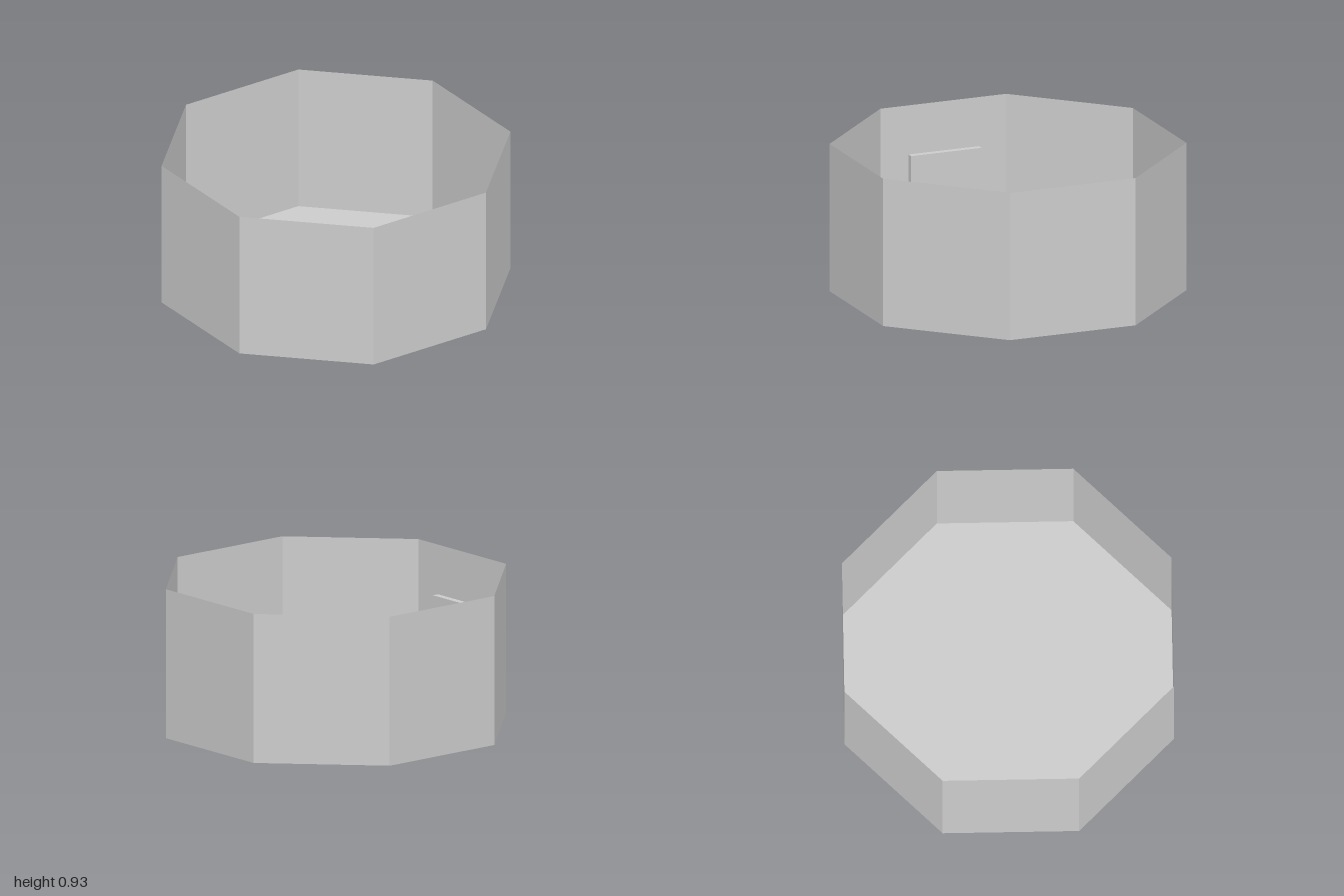
import * as THREE from 'three';

const SIDES = 8;
const HEIGHT = 0.93;
const RADIUS = 1 / Math.cos(Math.PI / SIDES); // corner radius for walls 1 unit from the centre

export function createModel() {
  const model = new THREE.Group();
  model.name = 'octagonalRoom';

  const stone = new THREE.MeshStandardMaterial({ color: 0xcccccc, flatShading: true, side: THREE.DoubleSide });
  stone.name = 'light grey';

  const add = (name, geometry) => {
    const mesh = new THREE.Mesh(geometry, stone);
    mesh.name = name;
    model.add(mesh);
  };

  // Thin open ring of eight walls
  const walls = new THREE.CylinderGeometry(RADIUS, RADIUS, HEIGHT, SIDES, 1, true, Math.PI / SIDES);
  add('walls', walls.translate(0, HEIGHT / 2, 0));

  // Floor closing the bottom
  add('floor', new THREE.CircleGeometry(RADIUS, SIDES, Math.PI / SIDES).rotateX(-Math.PI / 2));

  // Door slab standing against the inside of the -x wall
  const doorHeight = 0.62;
  add('door', new THREE.BoxGeometry(0.04, doorHeight, 0.465).translate(-0.98, doorHeight / 2, -0.003));

  return model;
}
